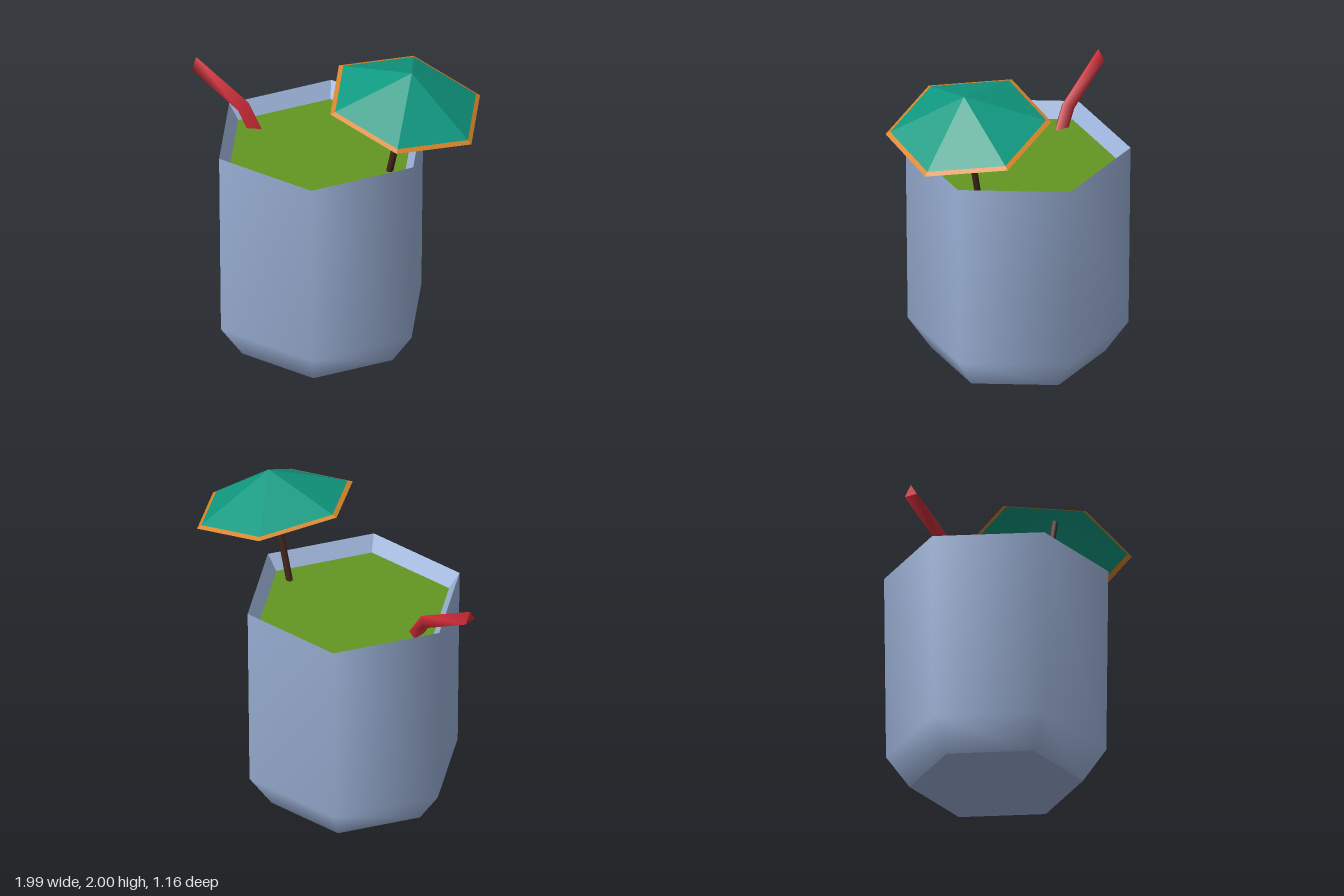
import * as THREE from 'three';

function mat(name, color, side = THREE.FrontSide) {
  const m = new THREE.MeshStandardMaterial({ color, side });
  m.name = name;
  return m;
}

// Non-indexed geometry with one normal per face
function facets(points) {
  const g = new THREE.BufferGeometry().setFromPoints(points);
  g.computeVertexNormals();
  return g;
}

function quad(a, b, c, d) {
  return [a, b, c, a, c, d];
}

export function createModel() {
  const group = new THREE.Group();
  const glassBlue = mat('glassBlue', 0x9db3d9);
  const drinkGreen = mat('drinkGreen', 0x639722);
  const strawRed = mat('strawRed', 0xcf2c38, THREE.DoubleSide);
  const canopyGreen = mat('canopyGreen', 0x109a82, THREE.DoubleSide);
  const trimOrange = mat('trimOrange', 0xd8862a, THREE.DoubleSide);
  const stickBrown = mat('stickBrown', 0x43271c);

  const add = (name, geometry, material, parent = group) => {
    const mesh = new THREE.Mesh(geometry, material);
    mesh.name = name;
    parent.add(mesh);
    return mesh;
  };
  const hexLathe = (profile) => new THREE.LatheGeometry(
    profile.map(([r, y]) => new THREE.Vector2(r, y)), 6, Math.PI / 2);

  // Six-sided glass, smooth outside and faceted inside
  const glass = new THREE.Group();
  glass.name = 'glass';
  glass.position.x = -0.092;
  group.add(glass);
  add('outerWall', hexLathe([[0.52, 0], [0.66, 0.2], [0.672, 1.375]]), glassBlue, glass);
  const inner = hexLathe([[0.672, 1.375], [0.605, 1.28]]).toNonIndexed();
  inner.computeVertexNormals();
  add('innerRim', inner, glassBlue, glass);
  add('glassBase', new THREE.CircleGeometry(0.52, 6).rotateX(Math.PI / 2), glassBlue, glass);
  add('drink', new THREE.CircleGeometry(0.606, 6).rotateX(-Math.PI / 2), drinkGreen, glass)
    .position.y = 1.281;

  // Bent three-sided straw: ridge point and lower edge at each section
  const sections = [
    [-1, 1.62, -1, 1.55],
    [-0.615, 1.43, -0.665, 1.383],
    [-0.52, 1.28, -0.6, 1.28],
    [-0.47, 1.2, -0.55, 1.2],
  ].map(([tx, ty, bx, by]) => [
    new THREE.Vector3(tx, ty, 0.008),
    new THREE.Vector3(bx, by, 0.051),
    new THREE.Vector3(bx, by, -0.035),
  ]);
  const strawGeometry = new THREE.BufferGeometry().setFromPoints(sections.flat());
  const index = [];
  for (let s = 0; s < sections.length - 1; s++) {
    for (let i = 0; i < 3; i++) {
      const a = s * 3 + i, b = s * 3 + (i + 1) % 3;
      index.push(a, b, b + 3, a, b + 3, a + 3);
    }
  }
  strawGeometry.setIndex(index);
  strawGeometry.computeVertexNormals();
  const straw = new THREE.Group();
  straw.name = 'straw';
  group.add(straw);
  add('strawBody', strawGeometry, strawRed, straw);
  add('strawEnd', facets([sections[0][0], sections[0][2], sections[0][1]]), strawRed, straw);

  // Tilted paper umbrella: faceted canopy with a trim band
  const umbrella = new THREE.Group();
  umbrella.name = 'umbrella';
  group.add(umbrella);
  const apex = new THREE.Vector3(0.552, 2, -0.026);
  const rim = [];
  for (let i = 0; i < 6; i++) {
    const t = i * Math.PI / 3;
    const x = 0.503 + 0.484 * Math.cos(t);
    rim.push(new THREE.Vector3(x, 1.88 - 0.233 * (x - 0.02), -0.026 - 0.5 * Math.sin(t)));
  }
  const trimStart = rim.map((p) => apex.clone().lerp(p, 0.94));
  const canopy = [], trim = [];
  for (let i = 0; i < 6; i++) {
    const j = (i + 1) % 6;
    canopy.push(apex, trimStart[i], trimStart[j]);
    trim.push(...quad(trimStart[i], rim[i], rim[j], trimStart[j]));
  }
  add('canopy', facets(canopy), canopyGreen, umbrella);
  add('canopyTrim', facets(trim), trimOrange, umbrella);

  // Stick from the drink up to the canopy peak
  const low = new THREE.Vector3(0.374, 1.2, -0.022);
  const high = new THREE.Vector3(0.554, 1.975, -0.022);
  const stick = add('umbrellaStick',
    new THREE.CylinderGeometry(0.021, 0.021, low.distanceTo(high), 6), stickBrown, umbrella);
  stick.position.copy(low).lerp(high, 0.5);
  stick.quaternion.setFromUnitVectors(
    new THREE.Vector3(0, 1, 0), high.clone().sub(low).normalize());

  return group;
}
